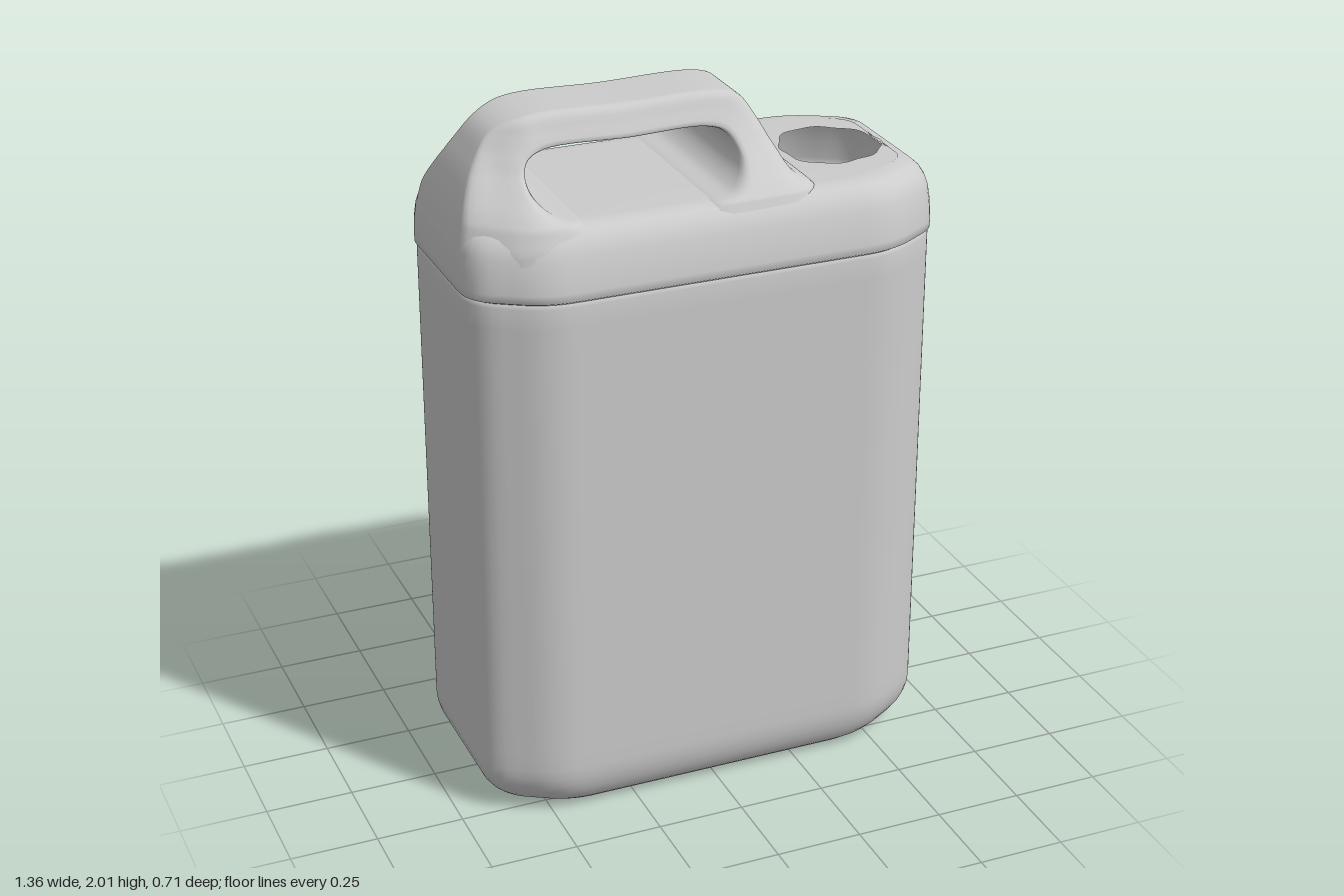
import * as THREE from 'three';

const material = new THREE.MeshStandardMaterial({ color: 0xcccccc, side: THREE.DoubleSide });
const smooth = (t) => THREE.MathUtils.smoothstep(t, 0, 1);

// Skin a list of closed loops (all with the same number of points)
function loft(name, rows) {
  const n = rows[0].length, index = [];
  for (let i = 0; i < rows.length - 1; i++) {
    for (let j = 0; j < n; j++) {
      const a = i * n + j, b = i * n + (j + 1) % n;
      index.push(a, a + n, b, b, a + n, b + n);
    }
  }
  const geometry = new THREE.BufferGeometry().setFromPoints(rows.flat());
  geometry.setIndex(index);
  geometry.computeVertexNormals();
  const mesh = new THREE.Mesh(geometry, material);
  mesh.name = name;
  return mesh;
}

// Plan outline: a rectangle with long chamfers and softened corners
const HX = 0.68, HZ = 0.355;
function planOutline() {
  const quarter = [[HX, 0.245], [0.5, HZ]];
  const flip = (sx, sz) => quarter.map(([x, z]) => new THREE.Vector2(x * sx, z * sz));
  const corners = [...flip(1, 1), ...flip(-1, 1).reverse(), ...flip(-1, -1), ...flip(1, -1).reverse()];
  const path = new THREE.CurvePath();
  const step = (p, q) => p.clone().add(q.clone().sub(p).setLength(0.07));
  corners.forEach((c, i) => {
    const prev = corners[(i + 7) % 8], next = corners[(i + 1) % 8];
    const end = step(c, next);
    path.add(new THREE.QuadraticBezierCurve(step(c, prev), c, end));
    path.add(new THREE.LineCurve(end, step(next, c)));
  });
  return path.getSpacedPoints(144).slice(0, 144);
}
const outline = planOutline();
const section = ([y, hx, hz]) =>
  outline.map((p) => new THREE.Vector3(p.x * hx / HX, y, p.y * hz / HZ));

// Tank: rounded bottom, straight walls, small groove at the top
function makeBody() {
  const rows = [[0, 0.001, 0.001], [0, 0.45, 0.2], [0, 0.54, 0.26]];
  for (let i = 1; i <= 8; i++) {
    const a = i / 8 * Math.PI / 2;
    rows.push([0.15 * (1 - Math.cos(a)), 0.54 + 0.135 * Math.sin(a), 0.26 + 0.092 * Math.sin(a)]);
  }
  rows.push([0.2, 0.675, 0.352], [0.8, 0.675, 0.352], [1.5, 0.675, 0.352], [1.56, 0.675, 0.352], [1.57, 0.667, 0.345]);
  return loft('body', rows.map(section));
}

// Shoulder: bulges over the groove, closes to a flat top with an open mouth
function makeShoulder() {
  const rows = [
    [1.57, 0.667, 0.345], [1.577, 0.68, 0.355], [1.6, 0.681, 0.355], [1.65, 0.68, 0.345], [1.69, 0.676, 0.334],
    [1.715, 0.669, 0.324], [1.735, 0.658, 0.31], [1.75, 0.642, 0.294], [1.758, 0.622, 0.276], [1.76, 0.6, 0.255],
  ].map(section);
  const centre = new THREE.Vector3(0.465, 1.761, 0);
  const top = section([1.761, 0.58, 0.235]);
  if (top.every((p) => Number.isFinite(p.x))) rows.push(section([1.761, 0.61, 0.245]));
  const last = rows[rows.length - 1];
  rows.push(last.map((p) => {
    const d = p.clone().sub(centre).setY(0);
    const a = Math.atan2(d.z, d.x);
    return d.setLength(0.143 + 0.006 * Math.sin(3 * a + 1) + 0.004 * Math.sin(8 * a)).add(centre);
  }));
  return loft('shoulderWithMouth', rows);
}

// Half width of the handle at height y
const widths = [[1.55, 0.34], [1.7, 0.325], [1.76, 0.3], [1.79, 0.27], [1.82, 0.235], [1.87, 0.18],
  [1.92, 0.14], [1.96, 0.118], [2.0, 0.105]];
function halfWidth(y) {
  let i = 0;
  while (i < widths.length - 2 && y > widths[i + 1][0]) i++;
  const [y0, w0] = widths[i], [y1, w1] = widths[i + 1];
  return THREE.MathUtils.mapLinear(Math.min(y, 2), y0, y1, w0, w1);
}

// Handle: an arch between an inner (grip opening) and an outer side curve
function makeHandle() {
  const curve = (pts) => new THREE.CatmullRomCurve3(pts.map(([x, y]) => new THREE.Vector3(x, y, 0)));
  const inner = curve([[-0.34, 1.73], [-0.36, 1.757], [-0.43, 1.775], [-0.472, 1.81], [-0.485, 1.85], [-0.47, 1.893],
    [-0.42, 1.915], [-0.18, 1.915], [0.04, 1.915], [0.09, 1.897], [0.11, 1.85], [0.098, 1.81], [0.06, 1.775],
    [-0.01, 1.757], [-0.03, 1.73]]);
  const outer = curve([[-0.676, 1.64], [-0.673, 1.7], [-0.658, 1.77], [-0.635, 1.83], [-0.6, 1.895], [-0.545, 1.965],
    [-0.45, 2.0], [-0.18, 2.0], [0.09, 2.0], [0.15, 1.98], [0.19, 1.92], [0.222, 1.85], [0.25, 1.797],
    [0.3, 1.764], [0.31, 1.74]]);
  // Cross-section: [inner to outer, share of the half width]
  const half = [[0, 0], [0, 0.5], [0, 0.86], [0.03, 0.93], [0.09, 0.98], [0.2, 1], [0.4, 1], [0.6, 1], [0.75, 0.995],
    [0.87, 0.97], [0.95, 0.92], [0.99, 0.86], [1, 0.78], [1, 0.4], [1, 0]];
  const profile = [...half, ...half.slice(1, -1).reverse().map(([v, f]) => [v, -f])];
  const rows = [];
  for (let i = 0; i <= 112; i++) {
    const a = inner.getPoint(i / 112), b = outer.getPoint(i / 112);
    rows.push(profile.map(([v, f]) => {
      const p = a.clone().lerp(b, v);
      // Chamfer the rear post like the plan outline
      const chamfer = 0.32 * (1 - smooth(p.distanceTo(b) / 0.18)) * smooth((-0.45 - p.x) / 0.12);
      p.z = f * halfWidth(p.y) * (1 - chamfer);
      return p;
    }));
  }
  return loft('handle', rows);
}

export function createModel() {
  const model = new THREE.Group();
  model.name = 'canister';
  model.add(makeBody(), makeShoulder(), makeHandle());
  return model;
}
